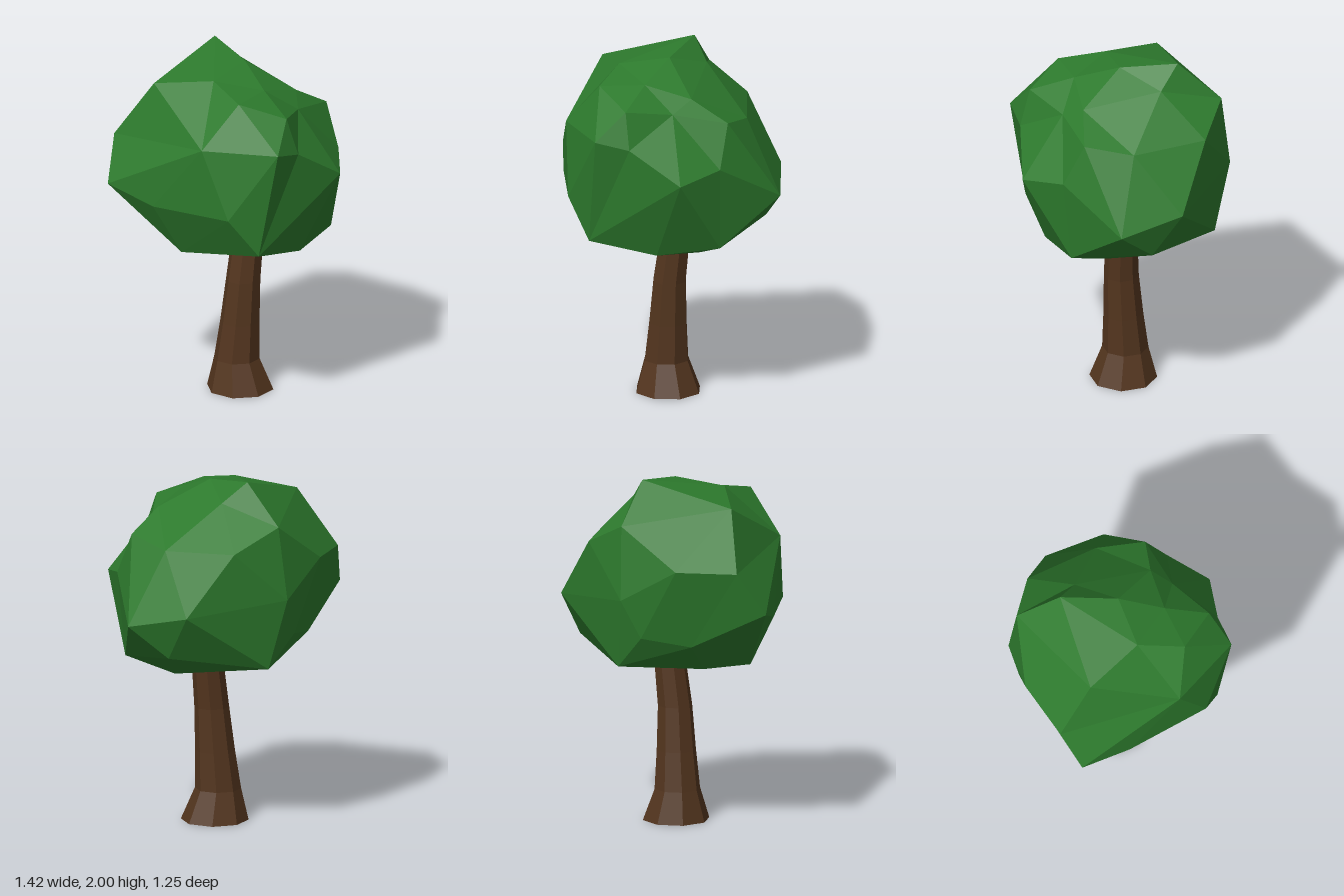
import * as THREE from 'three';
import { ConvexGeometry } from 'three/addons/geometries/ConvexGeometry.js';

const bark = new THREE.MeshStandardMaterial({ color: 0x53351e, flatShading: true });
const leaves = new THREE.MeshStandardMaterial({ color: 0x2d7a2d, flatShading: true });

// Eight-sided trunk: a cylinder whose rows follow a leaning, flared profile
function makeTrunk() {
  // [y, centre x, centre z, radius] from the ground up
  const rows = [
    [0, 0.06, -0.045, 0.19],
    [0.18, 0.043, -0.052, 0.13],
    [0.4, 0.058, -0.045, 0.112],
    [0.65, 0.075, -0.038, 0.098],
    [0.9, 0.105, -0.047, 0.09],
    [1.1, 0.13, -0.05, 0.085],
  ];
  const last = rows.length - 1;
  const geometry = new THREE.CylinderGeometry(1, 1, last, 8, last, false, 0.21);
  const pos = geometry.attributes.position;
  for (let i = 0; i < pos.count; i++) {
    const [y, cx, cz, r] = rows[Math.round(pos.getY(i) + last / 2)];
    pos.setXYZ(i, cx + pos.getX(i) * r, y, cz + pos.getZ(i) * r);
  }
  geometry.computeVertexNormals();
  const trunk = new THREE.Mesh(geometry, bark);
  trunk.name = 'trunk';
  return trunk;
}

// Faceted crown: corners are joined as on a sphere, then pulled out to their
// own distance, so that dents between the lumps survive
function makeCrown() {
  const centre = new THREE.Vector3(0, 1.4, 0);
  const corners = [
    // top
    [0.02, 2, -0.35], [0.08, 1.96, -0.03], [0.15, 1.88, -0.29], [-0.16, 1.92, 0.12],
    [-0.105, 1.865, 0.38], [-0.435, 1.865, -0.1], [0.1, 1.87, 0.23], [0.335, 1.8, 0.11],
    // shoulders
    [0.145, 1.78, 0.475], [0.3, 1.735, 0.24], [0.54, 1.68, 0.045], [0.475, 1.63, -0.225],
    [-0.05, 1.78, -0.585], [-0.33, 1.62, 0.39], [0.04, 1.62, 0.62], [0.2, 1.575, 0.515],
    // widest part
    [-0.62, 1.54, -0.24], [0.225, 1.65, -0.57], [0.57, 1.44, 0.16], [0.485, 1.39, 0.42],
    [-0.085, 1.365, -0.625], [-0.375, 1.55, -0.48], [-0.71, 1.3, -0.1], [0.5, 1.3, -0.515],
    [0.71, 1.22, -0.22], [-0.22, 1.23, 0.52], [-0.53, 1.225, 0.14],
    // lower back
    [-0.17, 1.15, -0.55], [-0.37, 1.1, -0.35], [0.52, 1.04, -0.345],
    // underside
    [-0.05, 1.01, 0.555], [0.54, 0.965, 0.12], [-0.355, 0.925, 0.13], [0.27, 0.93, 0.35],
    [0, 0.965, -0.56], [0.3, 0.86, -0.02], [-0.26, 0.925, -0.14], [-0.03, 0.895, 0.19],
  ].map((p) => new THREE.Vector3(...p));
  const directions = corners.map((p) => p.clone().sub(centre).normalize());

  const geometry = new ConvexGeometry(directions);
  const pos = geometry.attributes.position;
  const v = new THREE.Vector3();
  for (let i = 0; i < pos.count; i++) {
    v.fromBufferAttribute(pos, i);
    const nearest = directions.reduce(
      (best, d, k) => (d.distanceTo(v) < directions[best].distanceTo(v) ? k : best), 0);
    pos.setXYZ(i, ...corners[nearest].toArray());
  }
  geometry.computeVertexNormals();
  const crown = new THREE.Mesh(geometry, leaves);
  crown.name = 'crown';
  return crown;
}

export function createModel() {
  const tree = new THREE.Group();
  tree.name = 'tree';
  tree.add(makeTrunk(), makeCrown());
  return tree;
}
